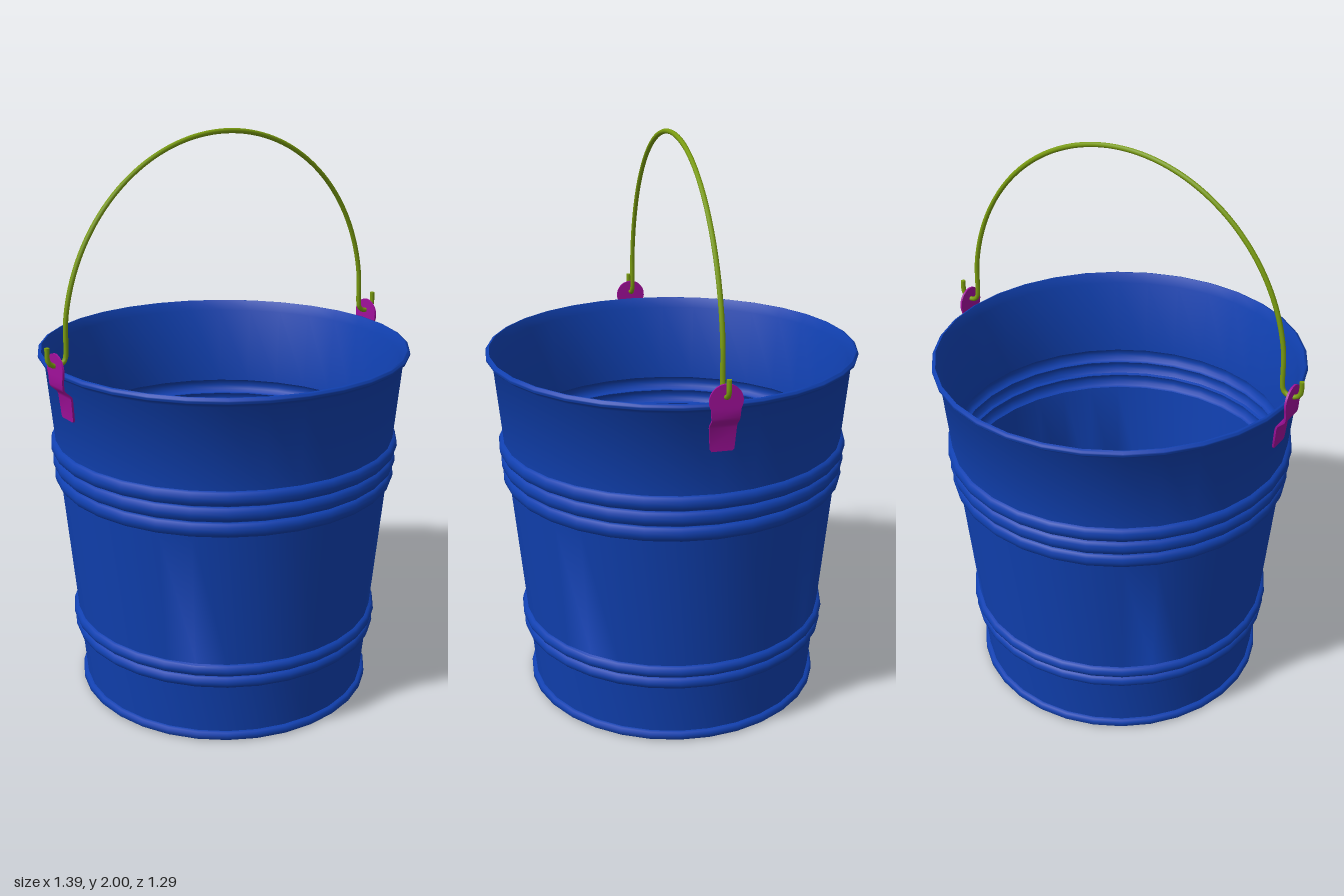
import * as THREE from 'three';
import { toCreasedNormals } from 'three/addons/utils/BufferGeometryUtils.js';

const blue = new THREE.MeshStandardMaterial({ color: 0x1040b0 });
const green = new THREE.MeshStandardMaterial({ color: 0x7a9c10 });
const purple = new THREE.MeshStandardMaterial({ color: 0xa0109a });

const RIBS = [0.238, 0.283, 0.815, 0.87, 0.925];
const wallRadius = (y) => 0.512 + 0.091 * y;

// Wall profile with rounded ribs pressed outwards, running bottom to top
function wallProfile(offset, yStart, yEnd) {
  const pts = [new THREE.Vector2(wallRadius(yStart) + offset, yStart)];
  for (const c of RIBS) {
    const half = c < 0.5 ? 0.022 : 0.0265;
    for (let i = 0; i <= 6; i++) {
      const a = (Math.PI * i) / 6;
      const y = c - half * Math.cos(a);
      pts.push(new THREE.Vector2(wallRadius(y) + offset + 0.019 * Math.sin(a), y));
    }
  }
  pts.push(new THREE.Vector2(wallRadius(yEnd) + offset, yEnd));
  return pts;
}

// Bucket: foot ring, ribbed wall, rolled rim, inner wall and floor
function makeBucket() {
  const v = (x, y) => new THREE.Vector2(x, y);
  const rim = [];
  for (let i = 0; i <= 8; i++) {
    const a = -Math.PI / 2 + (Math.PI * i) / 8;
    rim.push(v(0.634 + 0.012 * Math.cos(a), 1.258 + 0.012 * Math.sin(a)));
  }
  const profile = [
    v(0, 0.005), v(0.525, 0.005), v(0.531, 0.011), v(0.531, 0.026), v(0.525, 0.032),
    ...wallProfile(0, 0.034, 1.235),
    ...rim,
    ...wallProfile(-0.01, 0.02, 1.235).reverse(),
    v(0, 0.02),
  ];
  const geo = toCreasedNormals(new THREE.LatheGeometry(profile, 32), 0.9);
  const mesh = new THREE.Mesh(geo, blue);
  mesh.name = 'bucket';
  return mesh;
}

// Wire handle: half-round bail with an upturned hook at each end
function makeHandle() {
  const pts = [];
  const hook = [[0.685, 1.357], [0.685, 1.32]];
  for (let i = 1; i <= 6; i++) {
    const a = (Math.PI * i) / 6;
    hook.push([0.652 + 0.033 * Math.cos(a), 1.32 - 0.027 * Math.sin(a)]);
  }
  for (const [x, y] of hook) pts.push(new THREE.Vector3(x, y, 0));
  for (let i = 1; i < 24; i++) {
    const a = (Math.PI * i) / 24;
    pts.push(new THREE.Vector3(0.619 * Math.cos(a), 1.355 + 0.637 * Math.sin(a), 0));
  }
  for (const [x, y] of hook.reverse()) pts.push(new THREE.Vector3(-x, y, 0));
  const group = new THREE.Group();
  group.name = 'handle';
  const wire = new THREE.Mesh(
    new THREE.TubeGeometry(new THREE.CatmullRomCurve3(pts), 160, 0.0085, 8), green);
  wire.name = 'handleWire';
  group.add(wire);
  // Closed wire ends
  for (const s of [-1, 1]) {
    const cap = new THREE.Mesh(new THREE.CircleGeometry(0.0085, 8), green);
    cap.name = 'wireEnd';
    cap.rotation.x = -Math.PI / 2;
    cap.position.set(s * 0.685, 1.357, 0);
    group.add(cap);
  }
  return group;
}

// Ear: thin bent strip with a round head; each row is [y, x, half width]
function makeEar() {
  const rows = [
    [1.105, 0.619, 0.034], [1.112, 0.6195, 0.039], [1.185, 0.626, 0.044],
    [1.195, 0.63, 0.044], [1.215, 0.652, 0.044], [1.225, 0.656, 0.045],
  ];
  for (let i = 0; i <= 10; i++) {
    const a = -0.5 + ((Math.PI / 2 + 0.48) * i) / 10;
    rows.push([1.281 + 0.054 * Math.sin(a), 0.657, 0.054 * Math.cos(a)]);
  }
  const geo = new THREE.BoxGeometry(0.007, 1, 2, 1, rows.length - 1, 1);
  const p = geo.attributes.position;
  for (let i = 0; i < p.count; i++) {
    const [y, x, w] = rows[Math.round((p.getY(i) + 0.5) * (rows.length - 1))];
    p.setXYZ(i, x + p.getX(i), y, p.getZ(i) * w);
  }
  return new THREE.Mesh(toCreasedNormals(geo, 0.6), purple);
}

export function createModel() {
  const model = new THREE.Group();
  model.name = 'pail';
  model.add(makeBucket(), makeHandle());
  for (const side of ['left', 'right']) {
    const ear = makeEar();
    ear.name = side + 'Ear';
    if (side === 'right') ear.rotation.y = Math.PI;
    model.add(ear);
  }
  return model;
}
